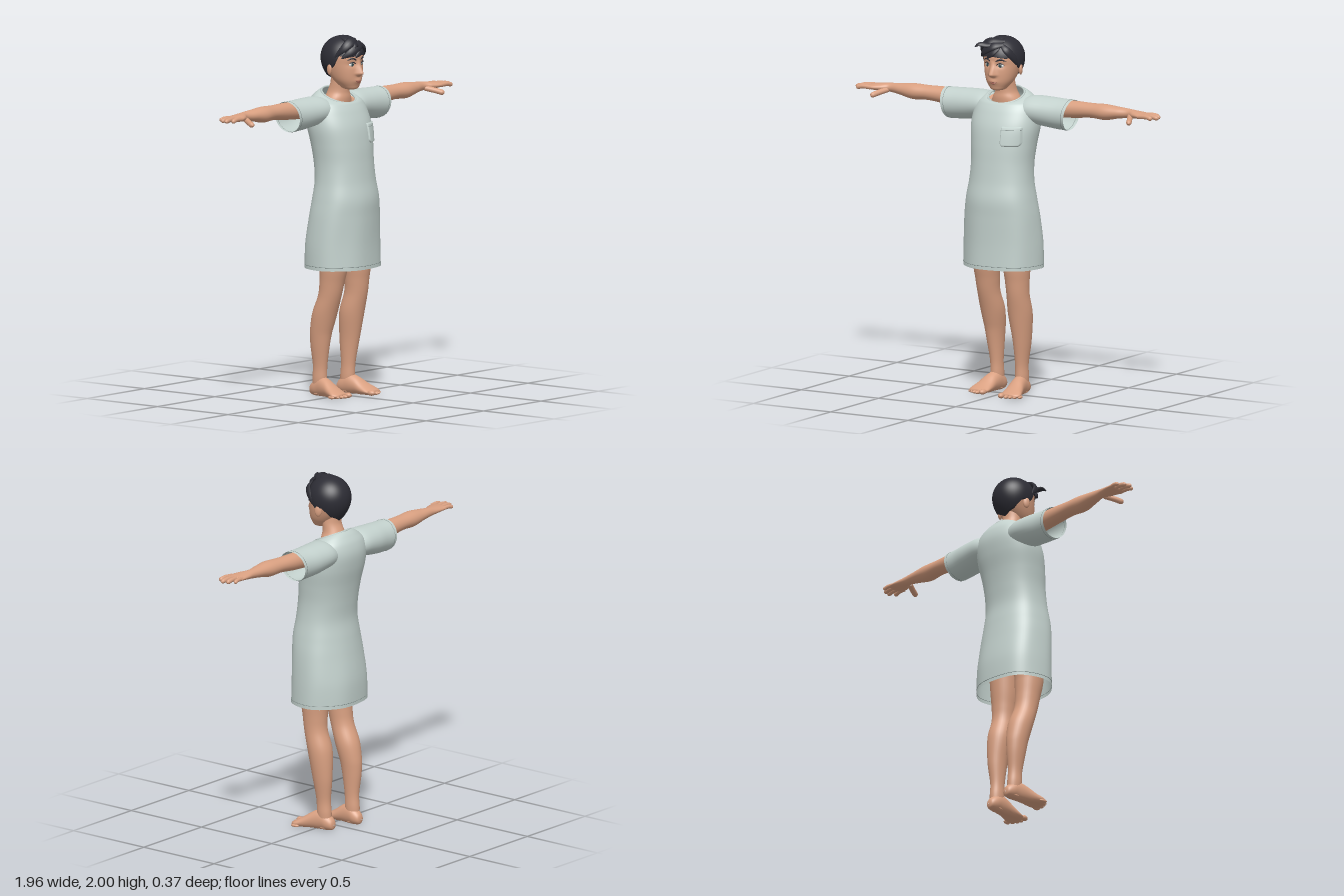
import * as THREE from 'three';

const paint = (name, color, side = THREE.FrontSide) => {
  const m = new THREE.MeshStandardMaterial({ color, side });
  m.name = name;
  return m;
};
const clamp = THREE.MathUtils.clamp;
const gauss = (a, b) => Math.exp(-a * a - b * b);

// Grid surface from fn(u, v); winding is turned outward by signed volume.
function surface(fn, nu, nv, closed = true) {
  const pos = [], idx = [], cols = closed ? nu : nu + 1;
  for (let j = 0; j <= nv; j++) for (let i = 0; i < cols; i++) pos.push(...fn(i / nu, j / nv));
  for (let j = 0; j < nv; j++) for (let i = 0; i < nu; i++) {
    const a = j * cols + i, b = j * cols + (i + 1) % cols, c = a + cols, d = b + cols;
    idx.push(a, b, d, a, d, c);
  }
  const g = new THREE.BufferGeometry();
  g.setAttribute('position', new THREE.Float32BufferAttribute(pos, 3));
  g.computeBoundingBox();
  const mid = g.boundingBox.getCenter(new THREE.Vector3());
  const at = k => new THREE.Vector3().fromArray(pos, idx[k] * 3).sub(mid);
  let vol = 0;
  for (let k = 0; k < idx.length; k += 3) vol += at(k).dot(at(k + 1).cross(at(k + 2)));
  if (vol < 0) idx.reverse();
  g.setIndex(idx);
  g.computeVertexNormals();
  return g;
}

// Catmull-Rom sample of a table of cross-sections.
function sample(rows, v) {
  const n = rows.length - 1, i = Math.min(Math.floor(v * n), n - 1), t = v * n - i;
  const [p, q, r, s] = [-1, 0, 1, 2].map(k => rows[clamp(i + k, 0, n)]);
  return q.map((b, k) => b + 0.5 * t * (r[k] - p[k] + t * (2 * p[k] - 5 * b + 4 * r[k] - s[k]
    + t * (3 * (b - r[k]) + s[k] - p[k]))));
}
function rowAt(rows, y) {
  let lo = 0, hi = 0.93;
  for (let k = 0; k < 30; k++) {
    const m = (lo + hi) / 2;
    if (sample(rows, m)[0] < y) lo = m; else hi = m;
  }
  return sample(rows, lo);
}
// Front z of a lofted body at (x, y)
function frontZ(rows, x, y, n) {
  const r = rowAt(rows, y);
  return r[2] + r[4] * Math.max(0, 1 - Math.abs(x / r[3]) ** n) ** (1 / n);
}

// Rows: [position on axis, centre a, centre b, radius a, radius b, tilt]
function loft(rows, axis, { nu = 32, nv = 48, n = 2, tweak = p => p } = {}) {
  const pw = c => Math.sign(c) * Math.abs(c) ** (2 / n);
  return surface((u, v) => {
    const [t, a, b, ra, rb, tilt = 0] = sample(rows, v), w = u * Math.PI * 2;
    const c = pw(Math.cos(w)), s = pw(Math.sin(w));
    const A = a + Math.max(ra, 0.0005) * c, B = b + Math.max(rb, 0.0005) * s, T = t + tilt * s;
    return tweak(axis === 'y' ? [A, T, B] : axis === 'x' ? [T, A, B] : [A, B, T], w, v);
  }, nu, nv);
}

// Tapered, optionally flattened sweep; the flat side faces away from centre.
const fingerTaper = v => Math.sqrt(Math.max(0.001, 1 - Math.max(0, (v - 0.8) / 0.2) ** 2));
const lockTaper = v => Math.max(0.02, Math.sin(Math.PI * (0.1 + 0.9 * v)) ** 0.7 || 0);
function sweep(points, r, taper, flat = 1, centre = [0, 1.87, 0]) {
  const curve = new THREE.CatmullRomCurve3(points.map(p => new THREE.Vector3(...p)));
  const mid = new THREE.Vector3(...centre);
  return surface((u, v) => {
    const p = curve.getPoint(v), t = curve.getTangent(v);
    const side = t.clone().cross(p.clone().sub(mid)).normalize(), out = side.clone().cross(t);
    const w = u * Math.PI * 2, k = r * taper(v);
    return p.addScaledVector(side, k * Math.cos(w)).addScaledVector(out, k * flat * Math.sin(w)).toArray();
  }, 12, 20);
}

const GOWN = [
  [0.715, 0, 0, 0.228, 0.18, 0], [0.85, 0, 0, 0.225, 0.177, 0], [1.0, 0, 0.012, 0.214, 0.168, 0],
  [1.1, 0, 0.02, 0.2, 0.162, 0], [1.2, 0, 0.018, 0.184, 0.148, 0], [1.3, 0, 0.008, 0.179, 0.147, 0],
  [1.4, 0, -0.005, 0.188, 0.15, 0], [1.5, 0, -0.025, 0.2, 0.152, 0], [1.58, 0, -0.045, 0.195, 0.14, 0],
  [1.63, 0, -0.05, 0.178, 0.122, -0.01], [1.656, 0, -0.043, 0.148, 0.104, -0.024],
  [1.668, 0, -0.035, 0.12, 0.09, -0.034], [1.667, 0, -0.03, 0.102, 0.085, -0.038]];
const HEAD = [
  [1.704, 0, 0.06, 0.003, 0.003], [1.71, 0, 0.055, 0.036, 0.038], [1.73, 0, 0.045, 0.056, 0.058],
  [1.76, 0, 0.033, 0.076, 0.078], [1.8, 0, 0.018, 0.09, 0.096], [1.85, 0, 0.005, 0.1, 0.107],
  [1.9, 0, 0, 0.103, 0.112], [1.95, 0, 0, 0.084, 0.09], [1.98, 0, 0, 0.04, 0.045], [1.984, 0, 0, 0.002, 0.002]];

// Nose, eye sockets and lips
function faceBump(x, y) {
  const h = y < 1.8 ? THREE.MathUtils.smoothstep(y, 1.778, 1.798) : Math.max(0, 1 - (y - 1.8) / 0.075);
  return 0.034 * h * gauss(x / (0.012 + 0.007 * h), 0)
    - 0.006 * gauss((Math.abs(x) - 0.042) / 0.022, (y - 1.85) / 0.014)
    + 0.006 * gauss(x / 0.028, (y - 1.757) / 0.013);
}
const faceZ = (x, y) => frontZ(HEAD, x, y, 2.2) + faceBump(x, y);

// Lower edge of the hair, by angle in degrees from the front
const HAIRLINE = [[0, 1.9], [40, 1.89], [62, 1.9], [78, 1.84], [92, 1.822], [102, 1.845], [130, 1.79], [180, 1.755]];
function hairline(deg) {
  const k = clamp(HAIRLINE.findIndex(h => h[0] >= deg), 1, HAIRLINE.length - 1);
  const [a, b] = [HAIRLINE[k - 1], HAIRLINE[k]];
  return THREE.MathUtils.mapLinear(deg, a[0], b[0], a[1], b[1]);
}

export function createModel() {
  const root = new THREE.Group();
  const skin = paint('skin', 0xd9a081), cloth = paint('gown cloth', 0xc3d1cd, THREE.DoubleSide);
  const seamMat = paint('seam', 0x8b9895), hairMat = paint('hair', 0x2d2d35, THREE.DoubleSide);
  const white = paint('eye white', 0xe8e6e2), irisMat = paint('iris', 0x34494c), lipMat = paint('lips', 0xa9685a);
  const add = (name, geo, mat) => {
    const m = new THREE.Mesh(geo, mat);
    m.name = name;
    root.add(m);
    return m;
  };
  const ball = (name, mat, p, s, ry = 0) => {
    const m = add(name, new THREE.SphereGeometry(1, 20, 14), mat);
    m.position.set(...p);
    m.scale.set(...s);
    m.rotation.y = ry;
  };

  // Gown body with soft folds toward the hem
  const fold = ([x, y, z], w) => {
    const k = 1 + 0.014 * clamp((1.3 - y) / 0.4, 0, 1) * Math.sin(6 * w + 0.8 + 3 * y);
    return [x * k, y, z * k];
  };
  add('gown body', loft(GOWN, 'y', { nu: 72, nv: 96, n: 2.2, tweak: fold }), cloth);
  const ring = (name, fn, r, mat) => {
    const pts = Array.from({ length: 48 }, (_, i) => new THREE.Vector3(...fn(i / 48 * Math.PI * 2)));
    add(name, new THREE.TubeGeometry(new THREE.CatmullRomCurve3(pts, true), 96, r, 6, true), mat);
  };
  ring('neckBand', w => [0.104 * Math.cos(w), 1.667 - 0.038 * Math.sin(w), -0.03 + 0.086 * Math.sin(w)], 0.006, cloth);
  const pw = c => Math.sign(c) * Math.abs(c) ** (2 / 2.2);
  ring('hemSeam', w => fold([0.228 * pw(Math.cos(w)), 0.735, 0.18 * pw(Math.sin(w))], w), 0.0015, seamMat);

  // Chest pocket following the cloth
  add('pocket', surface((u, v) => {
    const hw = 0.054 * (1 - 0.3 * Math.max(0, (v - 0.8) / 0.2) ** 2);
    const x = 0.113 + hw * (2 * u - 1), y = 1.515 - 0.11 * v;
    const rim = Math.min(u, 1 - u, v, 1 - v) < 0.03;
    return [x, y, frontZ(GOWN, x, y, 2.2) + (rim ? -0.002 : 0.009)];
  }, 24, 24, false), cloth);
  add('pocketSeam', sweep([0.062, 0.113, 0.164].map(x => [x, 1.496, frontZ(GOWN, x, 1.496, 2.2) + 0.009]),
    0.0015, () => 1), seamMat);

  // Neck and head
  add('neck', loft([[1.58, 0, -0.045, 0.11, 0.07], [1.65, 0, -0.035, 0.082, 0.068], [1.69, 0, -0.03, 0.062, 0.06],
    [1.74, 0, -0.018, 0.056, 0.052], [1.8, 0, -0.01, 0.055, 0.06]], 'y'), skin);
  add('head', loft(HEAD, 'y', {
    nu: 96, nv: 90, n: 2.2, tweak: ([x, y, z]) => [x, y, z > 0.04 ? z + faceBump(x, y) : z]
  }), skin);
  const onFace = (pts, lift) => pts.map(([x, y]) => [x, y, faceZ(x, y) + lift]);
  add('mouth', sweep(onFace([[-0.026, 1.758], [0, 1.756], [0.026, 1.758]], 0.001), 0.0026, lockTaper), lipMat);
  ball('lowerLip', lipMat, [0, 1.749, faceZ(0, 1.749) - 0.001], [0.016, 0.005, 0.003]);

  // Hair cap
  add('hair cap', surface((u, v) => {
    const w = u * Math.PI * 2, deg = Math.abs((u * 360 + 180) % 360 - 180);
    const low = hairline(deg), q = Math.min(v / 0.94, 1);
    const y = 2.0 - (2.0 - low) * (1 - Math.cos(q * Math.PI / 2));
    const d = y - 1.88;
    let r = d > 0 ? Math.sqrt(Math.max(0, 1 - (d / 0.12) ** 2)) : 1 - 0.45 * (d / 0.125) ** 2;
    if (v > 0.95) r *= 0.86;
    r = Math.max(r, 0.002);
    return [0.116 * r * Math.sin(w), y, -0.002 + 0.124 * r * Math.cos(w)];
  }, 72, 40), hairMat);
  // Swept fringe, side locks and curl
  [
    [0.026, [[0.05, 1.965, 0.08], [0, 1.955, 0.113], [-0.06, 1.922, 0.108], [-0.1, 1.885, 0.07]]],
    [0.028, [[0.04, 1.98, 0.05], [-0.03, 1.98, 0.09], [-0.08, 1.95, 0.085], [-0.112, 1.89, 0.03]]],
    [0.022, [[0.04, 1.965, 0.085], [0.075, 1.935, 0.088], [0.1, 1.89, 0.055], [0.106, 1.845, 0.025]]],
    [0.016, [[0.035, 1.95, 0.1], [0, 1.915, 0.122], [-0.035, 1.888, 0.118]]],
    [0.015, [[0.02, 1.97, 0.08], [-0.03, 1.962, 0.122], [-0.07, 1.966, 0.148], [-0.09, 1.95, 0.158]]],
    [0.04, [[0.03, 1.96, -0.07], [0.0, 1.985, 0.0], [-0.02, 1.975, 0.07], [-0.05, 1.94, 0.11]]]
  ].forEach(([r, pts]) => add('hair lock', sweep(pts, r, lockTaper, 0.45), hairMat));

  for (const s of [1, -1]) {
    const side = s > 0 ? 'left ' : 'right ';
    const flip = ([x, y, z]) => [s * x, y, z];

    // Eye, lash, brow, ear
    const ez = faceZ(0.042, 1.849);
    ball(side + 'eye', white, [s * 0.042, 1.849, ez - 0.003], [0.019, 0.011, 0.008], s * 0.35);
    ball(side + 'iris', irisMat, [s * 0.041, 1.849, ez + 0.003], [0.0095, 0.0102, 0.004], s * 0.3);
    add(side + 'lash', sweep(onFace([[0.022, 1.853], [0.042, 1.863], [0.064, 1.853]], 0.004).map(flip), 0.003, lockTaper), hairMat);
    add(side + 'brow', sweep(onFace([[0.018, 1.873], [0.045, 1.884], [0.072, 1.873]], 0.001).map(flip), 0.005, lockTaper, 0.6), hairMat);
    ball(side + 'ear', skin, [s * 0.106, 1.822, -0.008], [0.011, 0.032, 0.02], s * 0.4);

    // Sleeve with hem seam
    add(side + 'sleeve', loft([[0.1, 1.588, -0.06, 0.068, 0.095], [0.16, 1.594, -0.066, 0.078, 0.102],
      [0.25, 1.588, -0.07, 0.084, 0.097], [0.33, 1.583, -0.069, 0.086, 0.09], [0.398, 1.582, -0.068, 0.086, 0.088]],
    'x', { tweak: ([x, y, z]) => flip([x + (y - 1.58) * 0.15 * clamp((x - 0.2) / 0.2, 0, 1), y, z]) }), cloth);
    ring(side + 'sleeveSeam', w => {
      const y = 0.086 * Math.cos(w);
      return [s * (0.38 + y * 0.14), 1.582 + y, -0.068 + 0.0885 * Math.sin(w)];
    }, 0.0015, seamMat);

    // Arm and palm
    add(side + 'arm', loft([[0.1, 1.6, -0.075, 0.05, 0.05], [0.3, 1.61, -0.075, 0.05, 0.05],
      [0.42, 1.615, -0.077, 0.047, 0.048], [0.53, 1.62, -0.073, 0.041, 0.047], [0.62, 1.62, -0.068, 0.044, 0.051],
      [0.7, 1.624, -0.07, 0.033, 0.041], [0.77, 1.626, -0.074, 0.025, 0.03], [0.815, 1.626, -0.064, 0.022, 0.042],
      [0.86, 1.626, -0.056, 0.018, 0.052], [0.895, 1.626, -0.055, 0.013, 0.05], [0.902, 1.626, -0.055, 0.001, 0.03]],
    'x', { nv: 72, tweak: flip }), skin);
    // Fingers and thumb
    [[-0.014, -0.004, 0.957], [-0.042, -0.036, 0.98], [-0.069, -0.068, 0.972], [-0.094, -0.102, 0.945]].forEach(([z0, z1, x], i) =>
      add(side + 'finger', sweep([[0.865, 1.626, z0], [(0.865 + x) / 2 + 0.01, 1.628, (z0 + z1) / 2], [x, 1.62, z1]].map(flip),
        i === 3 ? 0.011 : 0.0128, fingerTaper, 1, [0, 0, 0]), skin));
    add(side + 'thumb', sweep([[0.785, 1.615, -0.055], [0.815, 1.602, 0], [0.835, 1.59, 0.043]].map(flip),
      0.0155, fingerTaper, 1, [0, 0, 0]), skin);

    // Leg; the right one stands slightly further back
    const back = s < 0 ? -0.045 : 0;
    add(side + 'leg', loft([[0.01, 0.093, -0.045, 0.03, 0.04], [0.09, 0.094, -0.042, 0.036, 0.044],
      [0.17, 0.095, -0.038, 0.036, 0.043], [0.3, 0.1, -0.033, 0.05, 0.059], [0.45, 0.099, -0.016, 0.067, 0.071],
      [0.56, 0.101, 0.011, 0.063, 0.067], [0.64, 0.1, 0.018, 0.067, 0.071], [0.75, 0.098, 0.02, 0.077, 0.082],
      [0.97, 0.095, 0.01, 0.085, 0.09]], 'y', {
      nv: 64, tweak: ([x, y, z]) => [s * x, y, z + back * clamp((0.75 - y) / 0.4, 0, 1)]
    }), skin);
    // Foot with flat sole, and toes
    add(side + 'foot', loft([[-0.108, 0.09, 0.03, 0.003, 0.003], [-0.1, 0.09, 0.032, 0.024, 0.027],
      [-0.07, 0.091, 0.042, 0.037, 0.045], [-0.03, 0.094, 0.052, 0.04, 0.057], [0.02, 0.101, 0.045, 0.045, 0.05],
      [0.07, 0.11, 0.028, 0.054, 0.035], [0.11, 0.117, 0.018, 0.06, 0.021], [0.135, 0.113, 0.014, 0.045, 0.012],
      [0.138, 0.11, 0.013, 0.002, 0.002]], 'z', {
      tweak: ([x, y, z]) => [s * x, Math.max(y, 0), z + back]
    }), skin);
    for (let i = 0; i < 5; i++) {
      const r = i ? 0.0125 - 0.0006 * i : 0.018;
      ball(side + 'toe', skin, [s * (0.074 + (i ? 0.008 : 0) + 0.0225 * i), r * 0.85, 0.143 - 0.0025 * i * i + back],
        [r, r * 0.85, 0.024], s * 0.15);
    }
  }
  return root;
}
